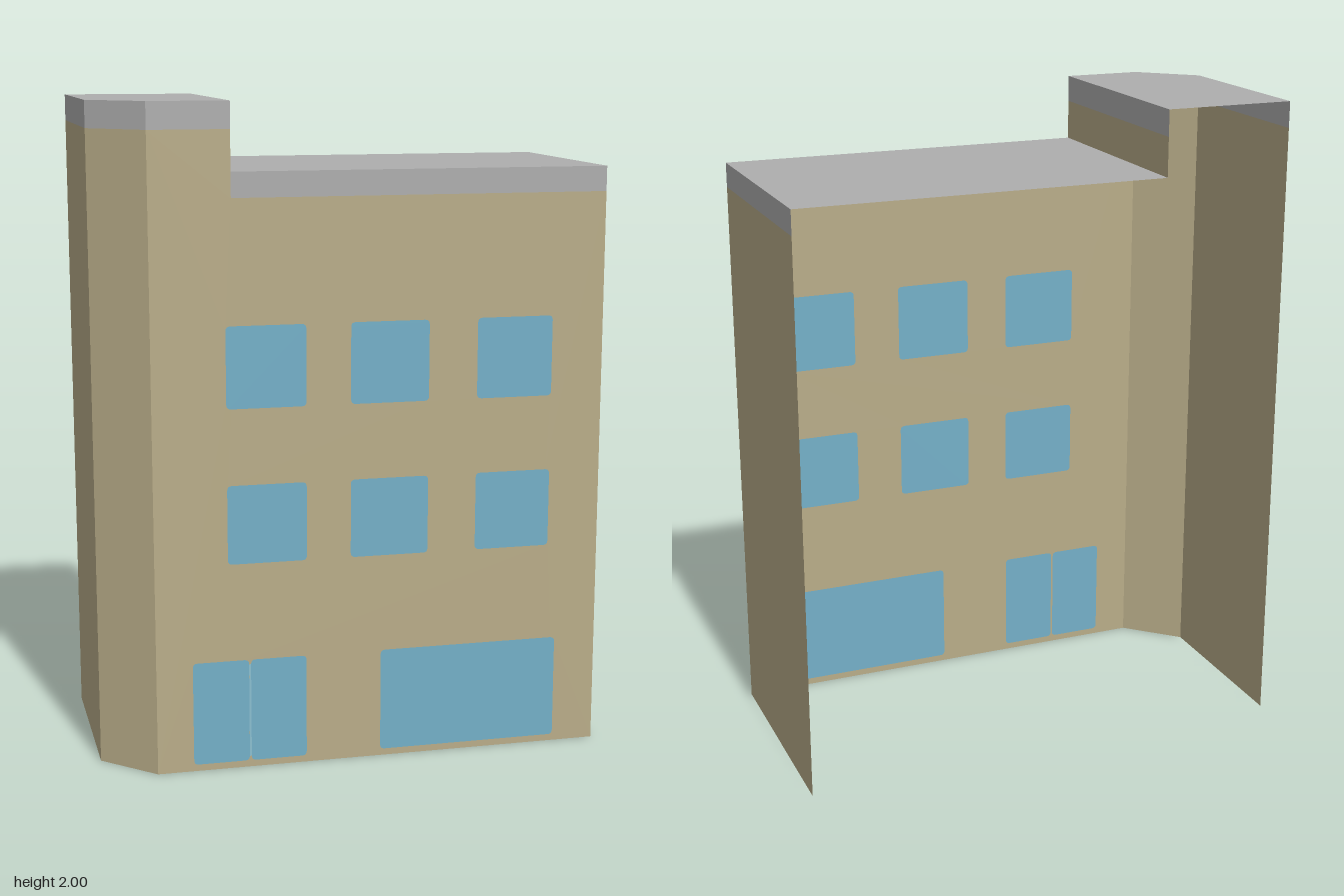
import * as THREE from 'three';

const paint = (name, color) => {
  const m = new THREE.MeshStandardMaterial({ color, side: THREE.DoubleSide });
  m.name = name;
  return m;
};

export function createModel() {
  const group = new THREE.Group();
  group.name = 'building';
  const tan = paint('tan wall', 0xb9ad89);
  const gray = paint('gray roof', 0xaeaeae);
  const blue = paint('blue glass', 0x74b0c8);
  const pale = paint('pale door seam', 0x8bbfd0);

  const front = 0.358, back = -0.358;
  const left = 0.77, step = -0.37, right = -0.77, cutX = -0.61, cutZ = 0.21;
  const lowTop = 1.8, highTop = 2, lowBand = 1.725, highBand = 1.92;

  const add = (name, geometry, material) => {
    const mesh = new THREE.Mesh(geometry, material);
    mesh.name = name;
    group.add(mesh);
    return mesh;
  };
  const polygon = (points) => new THREE.Shape(points.map(([x, y]) => new THREE.Vector2(x, y)));

  // Flat vertical sheet between two plan points [x, z]
  const wall = (name, [ax, az], [bx, bz], y0, y1, material) => {
    const geometry = new THREE.PlaneGeometry(Math.hypot(bx - ax, bz - az), y1 - y0);
    geometry.rotateY(Math.atan2(az - bz, bx - ax));
    geometry.translate((ax + bx) / 2, (y0 + y1) / 2, (az + bz) / 2);
    add(name, geometry, material);
  };

  // Rectangle with small rounded corners
  const rounded = (x0, x1, y0, y1, r = 0.014) => {
    const s = new THREE.Shape();
    s.moveTo(x0 + r, y0).lineTo(x1 - r, y0).quadraticCurveTo(x1, y0, x1, y0 + r);
    s.lineTo(x1, y1 - r).quadraticCurveTo(x1, y1, x1 - r, y1);
    s.lineTo(x0 + r, y1).quadraticCurveTo(x0, y1, x0, y1 - r);
    s.lineTo(x0, y0 + r).quadraticCurveTo(x0, y0, x0 + r, y0);
    return s;
  };

  // Facade with openings, each filled by a flush pane
  const facade = polygon([[cutX, 0], [left, 0], [left, lowBand], [step, lowBand],
    [step, highBand], [cutX, highBand]]);
  const frontFace = (name, shape, material) =>
    add(name, new THREE.ShapeGeometry(shape, 4).translate(0, 0, front), material);
  const pane = (name, ...rect) => {
    const shape = rounded(...rect);
    facade.holes.push(new THREE.Path(shape.getPoints(4)));
    frontFace(name, shape, blue);
  };
  for (const [y0, y1] of [[0.64, 0.88], [1.11, 1.355]]) {
    for (const [x0, x1] of [[-0.39, -0.15], [-0.015, 0.225], [0.375, 0.61]]) {
      pane('window', x0, x1, y0, y1);
    }
  }
  pane('shopWindow', 0.08, 0.64, 0.02, 0.34);
  pane('doorLeafRight', -0.5, -0.329, 0.02, 0.34);
  pane('doorLeafLeft', -0.323, -0.152, 0.02, 0.34);
  const seam = polygon([[-0.329, 0.034], [-0.323, 0.034], [-0.323, 0.326], [-0.329, 0.326]]);
  frontFace('doorSeam', seam, pale).position.z = 0.0005;
  frontFace('facade', facade, tan);

  // Gray bands along the top of the facade
  frontFace('lowParapet', polygon([[step, lowBand], [left, lowBand], [left, lowTop], [step, lowTop]]), gray);
  frontFace('towerParapet', polygon([[cutX, highBand], [step, highBand], [step, highTop], [cutX, highTop]]), gray);

  // Side walls, corner cut and the step between the roofs; the back stays open
  const sides = [
    ['leftWall', [left, front], [left, back], 0, lowBand, lowTop],
    ['stepWall', [step, front], [step, back], lowTop, highBand, highTop],
    ['rightWall', [right, back], [right + 0.004, cutZ], 0, highBand, highTop],
    ['cornerWall', [right + 0.004, cutZ], [cutX, front], 0, highBand, highTop],
  ];
  for (const [name, a, b, y0, band, top] of sides) {
    wall(name, a, b, y0, band, tan);
    wall(name + 'Parapet', a, b, band, top, gray);
  }

  // Flat roofs, drawn in plan with y standing for -z
  const roof = (name, points, y) => add(name,
    new THREE.ShapeGeometry(polygon(points.map(([x, z]) => [x, -z])))
      .rotateX(-Math.PI / 2).translate(0, y, 0), gray);
  roof('lowRoof', [[step, front], [left, front], [left, back], [step, back]], lowTop);
  roof('towerRoof', [[cutX, front], [step, front], [step, back], [right, back],
    [right + 0.004, cutZ]], highTop);

  return group;
}
